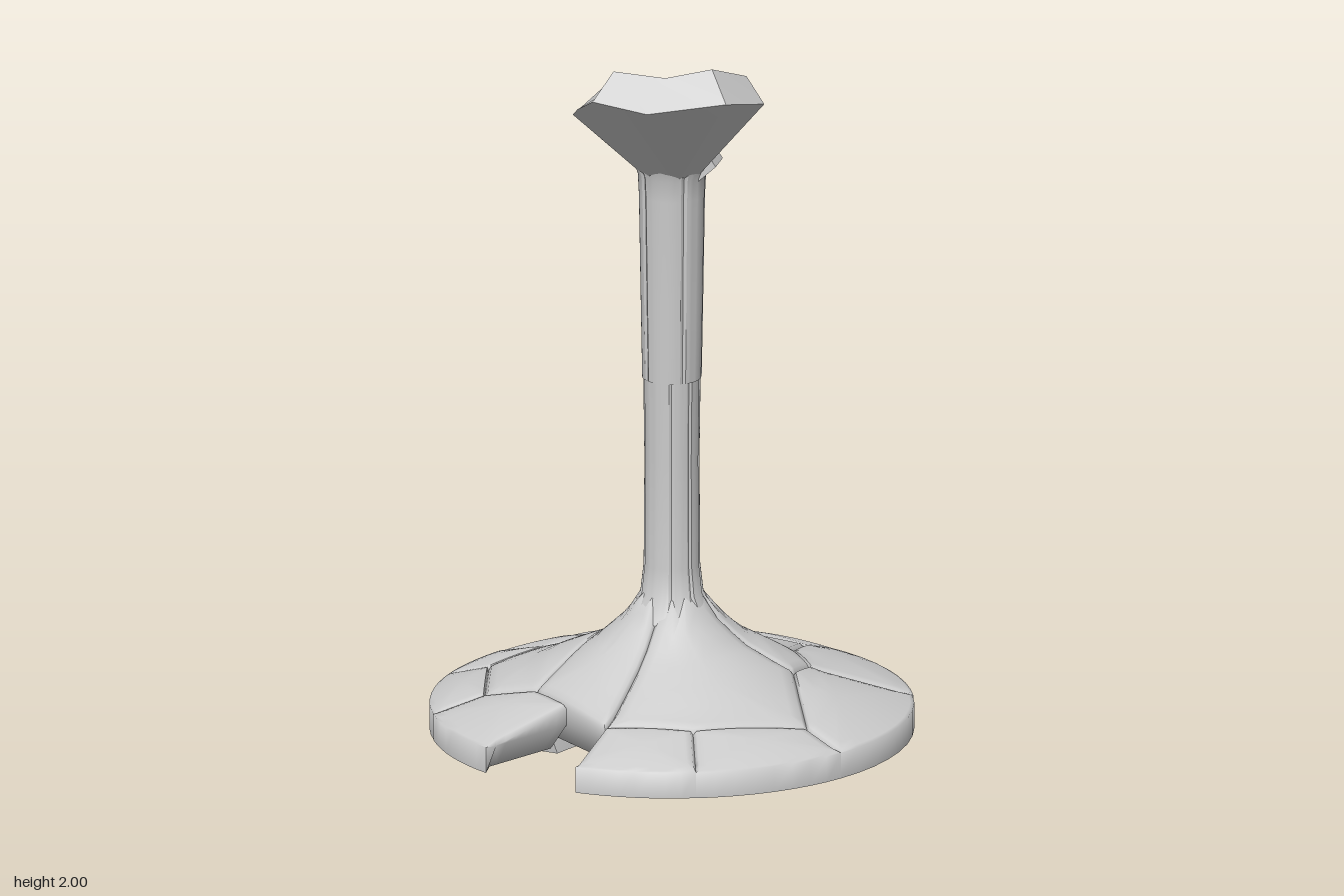
import * as THREE from 'three';
import { toCreasedNormals } from 'three/addons/utils/BufferGeometryUtils.js';

const material = new THREE.MeshStandardMaterial({ color: 0xcccccc });

// Joins rings of equal point count; both ends are closed to their middle
function loft(rings, crease) {
  const middle = (ring) => {
    const c = [0, 1, 2].map((i) => ring.reduce((s, p) => s + p[i], 0) / ring.length);
    return ring.map(() => c);
  };
  const all = [middle(rings[0]), ...rings, middle(rings[rings.length - 1])];
  const n = rings[0].length, index = [];
  for (let k = 0; k < all.length - 1; k++) {
    for (let j = 0; j < n; j++) {
      const a = k * n + j, d = k * n + (j + 1) % n, b = a + n, c = d + n;
      if (k > 0) index.push(a, b, d);
      if (k < all.length - 2) index.push(d, b, c);
    }
  }
  const g = new THREE.BufferGeometry();
  g.setAttribute('position', new THREE.Float32BufferAttribute(all.flat(2), 3));
  g.setIndex(index);
  return toCreasedNormals(g, crease);
}

function add(group, name, geometry) {
  const mesh = new THREE.Mesh(geometry, material);
  mesh.name = name;
  group.add(mesh);
}

// Height of the sloping foot at a distance from the axis
const SLOPE = [[0, 0.42], [0.085, 0.42], [0.12, 0.36], [0.2, 0.285], [0.3, 0.23], [0.4, 0.18], [0.67, 0.1]];
function height(r) {
  for (let i = 1; i < SLOPE.length; i++) {
    const [r0, y0] = SLOPE[i - 1], [r1, y1] = SLOPE[i];
    if (r <= r1) return y0 + (y1 - y0) * (r - r0) / (r1 - r0);
  }
  return 0.1;
}

// One fragment of the foot: domed top, upright sides, underside bulging down between deep seams.
// A flat underside may be given by its height, its scale and its shift in x and z.
function fragment(corners, flat) {
  const area = corners.reduce((s, p, i) => {
    const q = corners[(i + 1) % corners.length];
    return s + q[0] * p[1] - p[0] * q[1];
  }, 0);
  const poly = area > 0 ? corners : [...corners].reverse();
  const edge = [], steps = 8;
  poly.forEach((p, i) => {
    const q = poly[(i + 1) % poly.length];
    const onRim = Math.hypot(...p) > 0.63 && Math.hypot(...q) > 0.63;
    for (let s = 0; s < steps; s++) {
      const t = s / steps;
      const x = p[0] + (q[0] - p[0]) * t, z = p[1] + (q[1] - p[1]) * t;
      const f = onRim ? 0.66 / Math.hypot(x, z) : 1; // follow the round rim
      edge.push([x * f, z * f]);
    }
  });
  const cx = edge.reduce((s, p) => s + p[0], 0) / edge.length;
  const cz = edge.reduce((s, p) => s + p[1], 0) / edge.length;
  const ring = (scale, yOf, dx = 0, dz = 0) => edge.map(([x, z]) => {
    const px = cx + (x - cx) * scale, pz = cz + (z - cz) * scale;
    return [px + dx, yOf(Math.hypot(px, pz)), pz + dz];
  });
  const isRim = (r) => r > 0.645;
  const belly = (r) => 0.03 + 0.09 * Math.max(0, 0.65 - r);
  const seam = (r) => belly(r) + (isRim(r) ? 0 : 0.07);
  const underside = flat
    ? [1, 0.5].map((s) => ring(s * flat.scale, () => flat.y, flat.dx, flat.dz))
    : [ring(1, seam), ...[0.76, 0.5, 0.25].map((s) => ring(s, belly))];
  return loft([
    ...[0.12, 0.25, 0.4, 0.55, 0.7, 0.83, 0.95].map((s) => ring(s, (r) => height(r) + 0.012 * (1 - s * s))),
    ring(1, (r) => height(r) - (isRim(r) ? 0 : 0.012)),
    ...underside,
  ], 1.25);
}

function buildFoot() {
  const foot = new THREE.Group();
  foot.name = 'foot';
  // Seam junctions, [x, z]
  const o = [[-0.25, -0.61], [0, -0.66], [0.2, -0.63], [0.3, -0.588], [0.425, -0.5], [0.51, -0.415], [0.657, -0.06],
    [0.51, 0.415], [0, 0.66], [-0.41, 0.515], [-0.61, 0.25], [-0.658, -0.05], [-0.545, -0.37]];
  const i = [[-0.21, -0.5], [0, -0.5], [0.12, -0.41], [0.19, -0.415], [0.24, -0.42], [0.33, -0.38], [0.395, -0.32],
    [0.57, -0.06], [0.38, 0.08], [0.3, 0.23], [0.19, 0.28], [0, 0.53], [-0.28, 0.37], [-0.43, 0.18],
    [-0.4, 0], [-0.37, -0.15], [-0.42, -0.3]];
  const c = [[0.1, -0.33], [0.21, -0.1], [0, 0], [-0.06, -0.2]];

  const rim = [
    [o[0], o[1], i[1], i[0]], [o[1], o[2], i[3], i[2], i[1]], [o[2], o[3], i[4], i[3]], [o[3], o[4], i[5], i[4]],
    [o[5], o[6], i[7], i[6]], [o[6], o[7], i[9], i[8], i[7]], [o[7], o[8], i[11], i[10], i[9]],
    [o[8], o[9], i[12], i[11]], [o[9], o[10], i[13], i[12]], [o[11], o[12], i[16], i[15], i[14]],
    [o[12], o[0], i[0], i[16]],
  ];
  const flatRim = { y: 0.03, scale: 1, dx: 0, dz: 0 };
  rim.forEach((p, k) => add(foot, 'rimFragment', fragment(p, k === 6 ? flatRim : undefined)));

  const inner = [
    [i[2], i[3], i[4], i[5], i[6], i[7], i[8], c[1], c[0]],
    [c[0], c[1], c[2], c[3]],
    [c[1], i[8], i[9], i[10], c[2]],
    [i[10], i[11], i[12], i[13], c[2]],
    [i[13], i[14], i[15], c[3], c[2]],
  ];
  inner.forEach((p) => add(foot, 'innerFragment', fragment(p)));
  // The thick fragment that touches the ground
  add(foot, 'groundFragment', fragment([i[0], i[1], i[2], c[0], c[3], i[15], i[16]],
    { y: 0, scale: 0.88, dx: 0.015, dz: 0.06 }));
  return foot;
}

// Stem section from [radius, y] points listed top to bottom, with cracks cut as grooves
function stemSection(profile, cracks) {
  const n = 64;
  return loft(profile.map(([r, y]) => Array.from({ length: n }, (_, k) => {
    const a = k / n * Math.PI * 2, rr = cracks.includes(k) ? r * 0.95 : r;
    return [Math.cos(a) * rr, y, -Math.sin(a) * rr];
  })), 0.5);
}

// Bowl shard from cross-sections: outer base, outer lip, inner lip, inner middle, core;
// each section is closed at the stem axis
function shard(sections) {
  return loft(sections.map((s) => [...s, [0, 1.62, 0]]).reverse(), 0.55);
}

export function createModel() {
  const model = new THREE.Group();
  model.name = 'brokenGoblet';
  model.add(buildFoot());

  const stem = new THREE.Group();
  stem.name = 'stem';
  add(stem, 'lowerStem', stemSection(
    [[0.078, 1.03], [0.075, 0.8], [0.077, 0.5], [0.086, 0.42], [0.122, 0.355], [0.12, 0.3]], [3, 15, 26, 40, 47, 54]));
  add(stem, 'upperStem', stemSection(
    [[0.105, 1.645], [0.093, 1.61], [0.09, 1.55], [0.085, 1.25], [0.081, 1.03]], [6, 18, 30, 44, 55]));
  model.add(stem);

  const bowl = new THREE.Group();
  bowl.name = 'bowlRemains';
  const high = [0, 1.8, 0], low = [0, 1.71, 0];
  add(bowl, 'tallShard', shard([
    [[0.01, 1.62, 0.093], [0.01, 1.88, 0.35], [0.02, 1.94, 0.27], [0.02, 1.82, 0.14], high],
    [[-0.05, 1.62, 0.082], [-0.16, 1.92, 0.375], [-0.14, 2, 0.3], [-0.07, 1.83, 0.14], high],
    [[-0.07, 1.62, 0.05], [-0.31, 1.89, 0.22], [-0.22, 1.97, 0.2], [-0.14, 1.85, 0.09], high],
    [[-0.094, 1.62, 0.01], [-0.38, 1.91, 0.08], [-0.3, 1.98, 0.08], [-0.21, 1.87, 0], high],
  ]));
  add(bowl, 'backShard', shard([
    [[-0.094, 1.62, 0.01], [-0.38, 1.91, 0.08], [-0.3, 1.98, 0.08], [-0.21, 1.87, 0], high],
    [[-0.088, 1.62, -0.02], [-0.32, 1.85, -0.04], [-0.25, 1.88, -0.02], [-0.17, 1.85, -0.01], high],
    [[-0.082, 1.62, -0.04], [-0.25, 1.8, -0.13], [-0.21, 1.86, -0.05], [-0.12, 1.83, -0.02], high],
    [[-0.05, 1.62, -0.078], [-0.15, 1.77, -0.21], [-0.12, 1.86, -0.13], [-0.06, 1.82, -0.06], high],
    [[-0.03, 1.62, -0.088], [-0.07, 1.75, -0.21], [-0.07, 1.86, -0.14], [-0.03, 1.82, -0.07], high],
    [[0, 1.62, -0.093], [0.01, 1.72, -0.165], [0.03, 1.82, -0.12], [0.02, 1.81, -0.06], high],
  ]));
  add(bowl, 'lowShard', shard([
    [[0, 1.6, -0.09], [0.01, 1.67, -0.16], [0.02, 1.74, -0.11], [0.01, 1.73, -0.05], low],
    [[0.07, 1.6, -0.055], [0.1, 1.65, -0.1], [0.09, 1.69, -0.07], [0.04, 1.71, -0.03], low],
    [[0.09, 1.6, -0.01], [0.145, 1.64, -0.035], [0.16, 1.69, -0.03], [0.06, 1.71, -0.01], low],
    [[0.07, 1.6, 0.055], [0.125, 1.64, 0.07], [0.11, 1.67, 0.06], [0.05, 1.7, 0.03], low],
    [[0.01, 1.6, 0.09], [0.03, 1.65, 0.14], [0.02, 1.7, 0.1], [0.01, 1.71, 0.05], low],
  ]));
  model.add(bowl);
  return model;
}
